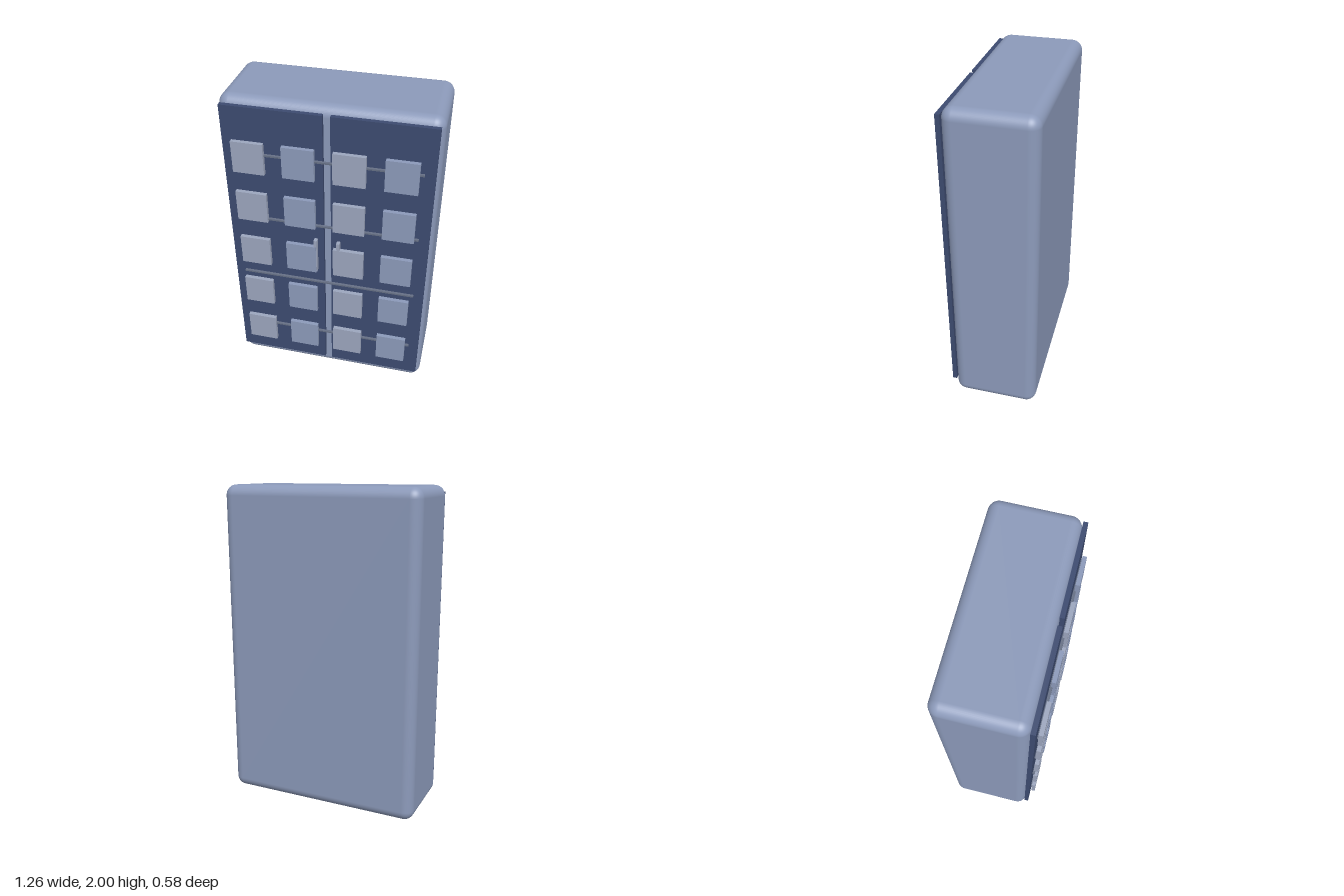
import * as THREE from 'three';
import { RoundedBoxGeometry } from 'three/addons/geometries/RoundedBoxGeometry.js';

export function createModel() {
  const model = new THREE.Group();
  model.name = 'cabinet';

  const bodyBlue = new THREE.MeshStandardMaterial({ color: 0x8c9aba });
  const doorBlue = new THREE.MeshStandardMaterial({ color: 0x3d4b70 });
  const paleGrey = new THREE.MeshStandardMaterial({ color: 0x9ca6be });
  const shelfGrey = new THREE.MeshStandardMaterial({ color: 0x667085 });

  // Box given by its lower and upper corners
  function box(name, material, [x0, y0, z0], [x1, y1, z1]) {
    const mesh = new THREE.Mesh(new THREE.BoxGeometry(x1 - x0, y1 - y0, z1 - z0), material);
    mesh.position.set((x0 + x1) / 2, (y0 + y1) / 2, (z0 + z1) / 2);
    mesh.name = name;
    model.add(mesh);
  }

  // Rounded cabinet body
  const body = new THREE.Mesh(new RoundedBoxGeometry(1.26, 2, 0.524, 6, 0.065), bodyBlue);
  body.position.set(0, 1, -0.03);
  body.name = 'body';
  model.add(body);

  // Pair of doors with upright handles beside the gap
  for (const [side, s] of [['left', 1], ['right', -1]]) {
    const span = (a, b) => (s > 0 ? [a, b] : [-b, -a]);
    const [d0, d1] = span(0.022, 0.608);
    box(side + 'Door', doorBlue, [d0, 0.087, 0.23], [d1, 1.96, 0.257]);
    const [h0, h1] = span(0.06, 0.08);
    box(side + 'Handle', paleGrey, [h0, 0.89, 0.257], [h1, 1.13, 0.287]);
  }

  // Thin shelf strips across both doors
  for (const y of [0.345, 0.79, 1.233, 1.677]) {
    box('shelfStrip', shelfGrey, [-0.547, y - 0.005, 0.257], [0.547, y + 0.005, 0.273]);
  }

  // Grid of square tiles, alternating colour by column
  for (let row = 0; row < 5; row++) {
    for (let col = 0; col < 4; col++) {
      const x = -0.454 + col * 0.294;
      const y = 0.308 + row * 0.337;
      box('tile', col % 2 ? bodyBlue : paleGrey,
        [x - 0.094, y - 0.1, 0.264], [x + 0.094, y + 0.1, 0.289]);
    }
  }

  return model;
}
